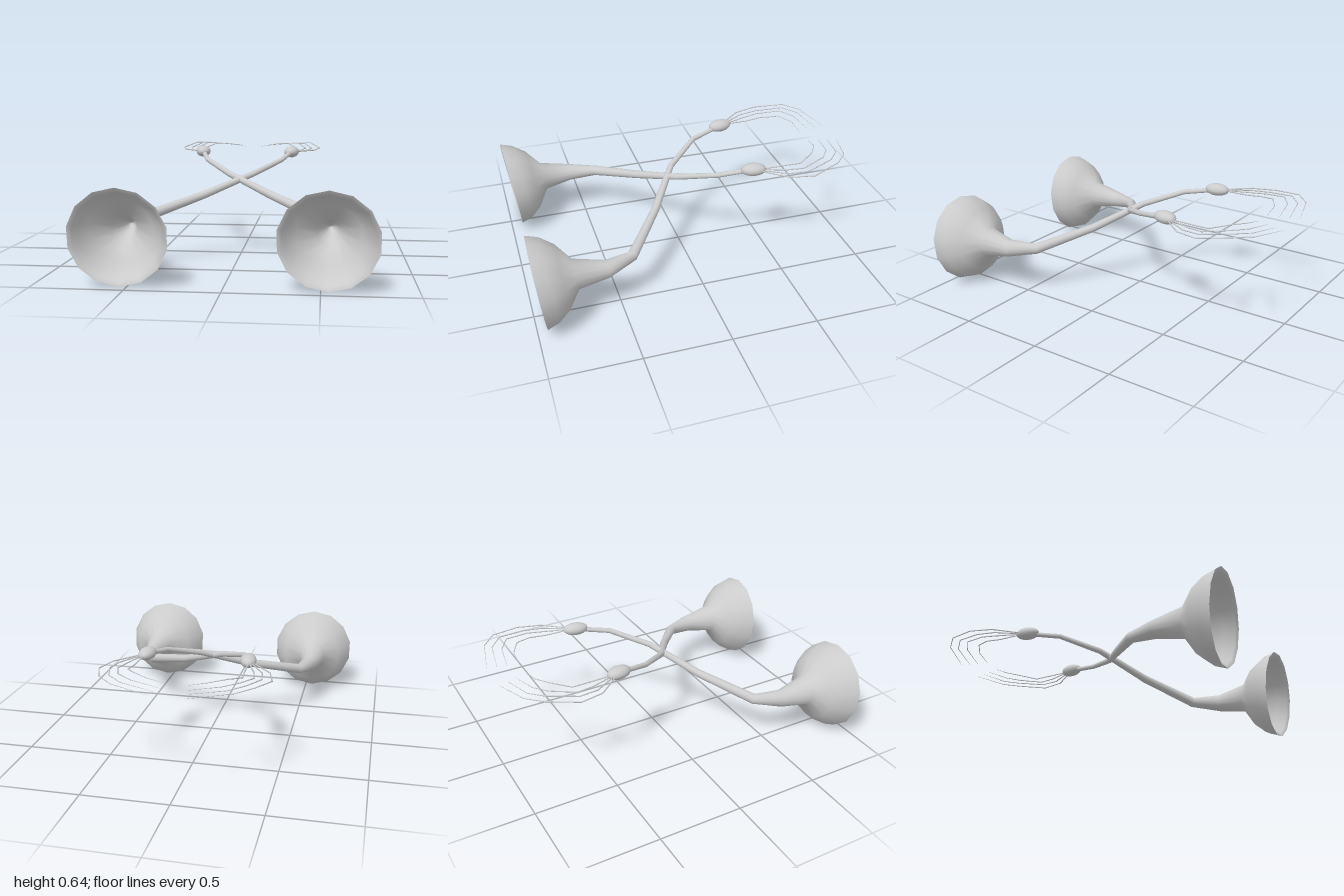
import * as THREE from 'three';

const grey = new THREE.MeshStandardMaterial({ color: 0xcccccc, side: THREE.DoubleSide });
const BELL_AXIS = [-0.03, -0.125, 1];

// Skin a list of rings [x, y, z, radius]; rings follow the path unless an axis is fixed.
function sweep(rings, sides, name, axisFor = () => null) {
  const pts = rings.map(([x, y, z]) => new THREE.Vector3(x, y, z));
  const up = new THREE.Vector3(0, 1, 0);
  const position = [], index = [];
  rings.forEach((ring, i) => {
    const prev = pts[Math.max(i - 1, 0)], next = pts[Math.min(i + 1, pts.length - 1)];
    const n = (axisFor(ring) || next.clone().sub(prev)).normalize();
    const right = new THREE.Vector3().crossVectors(up, n).normalize();
    const top = new THREE.Vector3().crossVectors(n, right);
    for (let j = 0; j < sides; j++) {
      const a = Math.PI / 2 + (j / sides) * Math.PI * 2;
      const p = pts[i].clone()
        .addScaledVector(right, Math.cos(a) * ring[3])
        .addScaledVector(top, Math.sin(a) * ring[3]);
      position.push(p.x, p.y, p.z);
      if (i < rings.length - 1) {
        const k = (j + 1) % sides, r0 = i * sides, r1 = r0 + sides;
        index.push(r0 + j, r0 + k, r1 + k, r0 + j, r1 + k, r1 + j);
      }
    }
  });
  const geo = new THREE.BufferGeometry();
  geo.setAttribute('position', new THREE.Float32BufferAttribute(position, 3));
  geo.setIndex(index);
  geo.computeVertexNormals();
  const mesh = new THREE.Mesh(geo, grey);
  mesh.name = name;
  return mesh;
}

// One horn: stem crossing the middle, flared bell, mouth bead and its strands.
function makeHorn(side) {
  const horn = new THREE.Group();
  horn.name = side > 0 ? 'leftHorn' : 'rightHorn';
  const mirror = (rings) => rings.map(([x, y, z, r]) => [x * side, y, z, r]);
  const bellAxis = ([, , z]) => (z > 0.7
    ? new THREE.Vector3(BELL_AXIS[0] * side, BELL_AXIS[1], BELL_AXIS[2]) : null);

  // stem widening into the outside of the bell
  horn.add(sweep(mirror([
    [-0.29, 0.61, -0.36, 0.014],
    [-0.235, 0.575, -0.17, 0.015],
    [-0.07, 0.505, 0.025, 0.018],
    [0.21, 0.395, 0.205, 0.024],
    [0.495, 0.303, 0.42, 0.031],
    [0.55, 0.288, 0.58, 0.052],
    [0.547, 0.29, 0.755, 0.088],
    [0.54, 0.283, 0.825, 0.186],
    [0.537, 0.276, 0.897, 0.242],
    [0.537, 0.272, 0.967, 0.265],
  ]), 14, 'stemAndBell', bellAxis));

  // lip and hollow inside of the bell
  const inside = (ring) => bellAxis([0, 0, 1]);
  horn.add(sweep(mirror([
    [0.537, 0.272, 0.967, 0.265],
    [0.537, 0.272, 0.955, 0.242],
    [0.537, 0.276, 0.9, 0.222],
    [0.54, 0.283, 0.84, 0.17],
    [0.547, 0.29, 0.775, 0.075],
    [0.55, 0.288, 0.62, 0.03],
    [0.55, 0.288, 0.59, 0.001],
  ]), 14, 'bellInside', inside));

  // bead at the narrow end
  const bead = new THREE.Mesh(new THREE.SphereGeometry(1, 16, 10).rotateX(Math.PI / 2), grey);
  bead.name = 'bead';
  bead.scale.set(0.047, 0.037, 0.074);
  bead.position.set(-0.293 * side, 0.613, -0.37);
  bead.rotation.y = 0.17 * side;
  horn.add(bead);

  // fine strands curling from the bead, each a tapering bent wire of [x, z] points
  const heights = [0.612, 0.612, 0.617, 0.64, 0.634, 0.613];
  const radii = [0.004, 0.004, 0.0038, 0.0032, 0.0024, 0.0008];
  const strands = [
    [[-0.32, -0.4], [-0.44, -0.54], [-0.473, -0.68], [-0.41, -0.855], [-0.32, -0.938], [-0.1, -1]],
    [[-0.315, -0.41], [-0.4, -0.55], [-0.417, -0.665], [-0.365, -0.83], [-0.28, -0.905], [-0.085, -0.945]],
    [[-0.31, -0.42], [-0.355, -0.555], [-0.375, -0.655], [-0.325, -0.8], [-0.24, -0.86], [-0.07, -0.892]],
    [[-0.302, -0.42], [-0.305, -0.565], [-0.315, -0.66], [-0.255, -0.76], [-0.165, -0.815], [-0.055, -0.824]],
  ];
  strands.forEach((path, i) => {
    const rings = path.map(([x, z], k) => [x, heights[k], z, radii[k]]);
    horn.add(sweep(mirror(rings), 6, `strand${i + 1}`));
  });
  return horn;
}

export function createModel() {
  const model = new THREE.Group();
  model.name = 'crossedHorns';
  for (const side of [1, -1]) model.add(makeHorn(side));
  return model;
}
